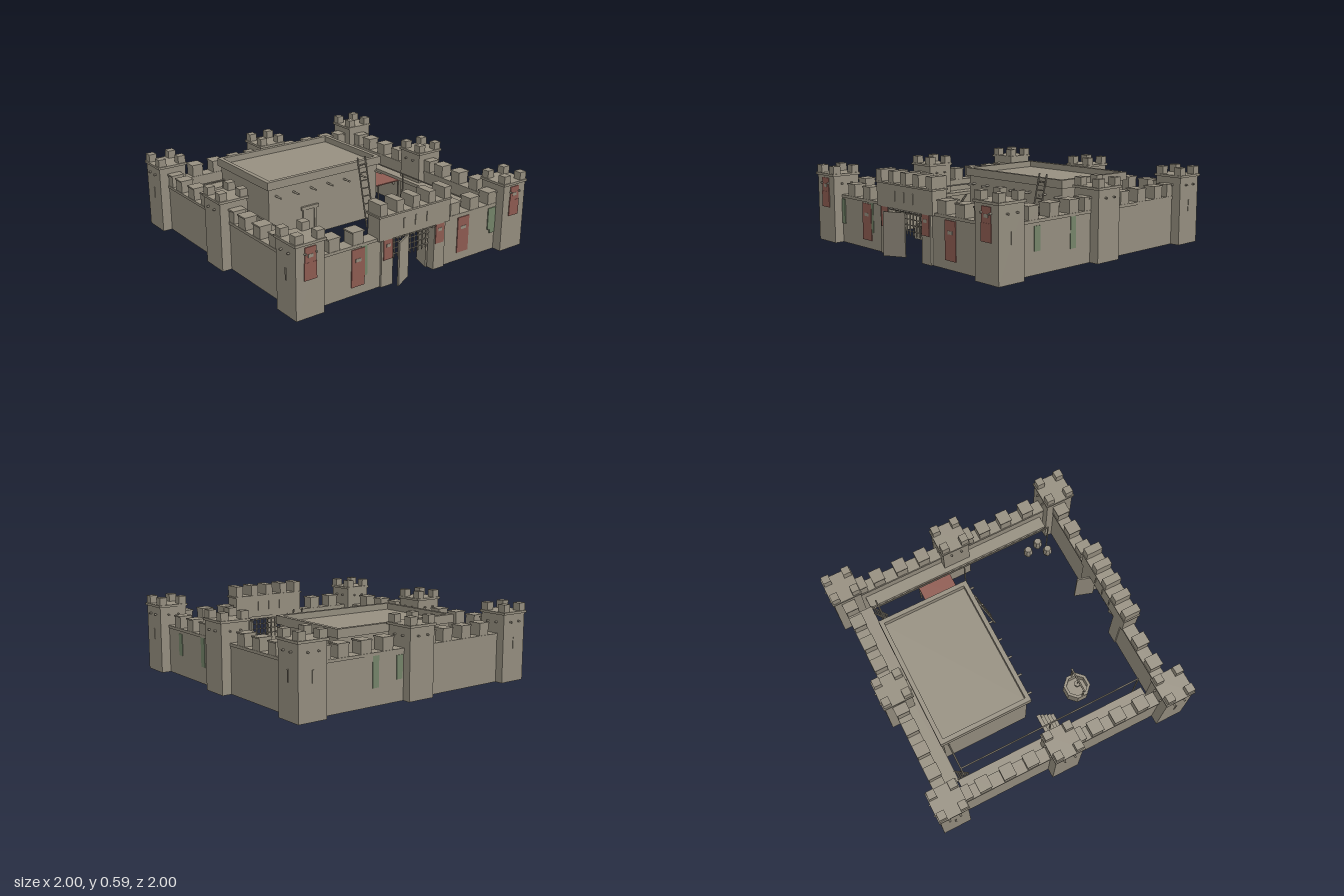
import * as THREE from 'three';

const paint = (name, color) => {
  const m = new THREE.MeshStandardMaterial({ color });
  m.name = name;
  return m;
};

export function createModel() {
  const stone = paint('stone', 0x968f80);
  const red = paint('bannerRed', 0x8f5c52);
  const green = paint('ivyGreen', 0x75856a);
  const stoneFaceted = stone;
  const root = new THREE.Group();
  root.name = 'fort';

  const group = (name, parent = root) => {
    const g = new THREE.Group();
    g.name = name;
    parent.add(g);
    return g;
  };
  const add = (parent, name, geo, x, y, z, mat = stone) => {
    const m = new THREE.Mesh(geo, mat);
    m.name = name;
    m.position.set(x, y, z);
    parent.add(m);
    return m;
  };
  // Box given by its extents
  const box = (parent, name, x0, x1, y0, y1, z0, z1, mat) =>
    add(parent, name, new THREE.BoxGeometry(x1 - x0, y1 - y0, z1 - z0),
      (x0 + x1) / 2, (y0 + y1) / 2, (z0 + z1) / 2, mat);
  // Round bar between two points
  const bar = (parent, name, a, b, r, sides = 6) => {
    const p = new THREE.Vector3(...a), q = new THREE.Vector3(...b);
    const mid = p.clone().add(q).multiplyScalar(0.5);
    const m = add(parent, name, new THREE.CylinderGeometry(r, r, p.distanceTo(q), sides), mid.x, mid.y, mid.z);
    m.quaternion.setFromUnitVectors(new THREE.Vector3(0, 1, 0), q.sub(p).normalize());
    return m;
  };

  // Towers: shaft, cap, four merlons, beam ends and arrow slits
  const tower = (cx, cz) => {
    const g = group('tower');
    g.position.set(cx, 0, cz);
    box(g, 'shaft', -0.105, 0.105, 0, 0.485, -0.105, 0.105);
    box(g, 'cap', -0.115, 0.115, 0.485, 0.502, -0.115, 0.115);
    for (const sx of [-1, 1]) for (const sz of [-1, 1])
      box(g, 'merlon', sx * 0.078 - 0.029, sx * 0.078 + 0.029, 0.5, 0.557, sz * 0.078 - 0.029, sz * 0.078 + 0.029);
    for (const o of [-0.04, 0.04]) {
      bar(g, 'beamEnd', [-0.123, 0.43, o], [0.123, 0.43, o], 0.007);
      bar(g, 'beamEnd', [o, 0.43, -0.123], [o, 0.43, 0.123], 0.007);
    }
    if (cx && cz) {
      box(g, 'arrowSlit', -0.109, 0.109, 0.24, 0.32, -0.006, 0.006);
      if (cz < 0) box(g, 'arrowSlit', -0.006, 0.006, 0.24, 0.32, -0.109, 0);
    }
  };
  const T = 0.875;
  for (const x of [-T, 0, T]) for (const z of [-T, 0, T])
    if ((x || z) && !(x === 0 && z === T)) tower(x, z);

  // Curtain walls with a lip and capped merlons
  const merlon = (g, x, z, wx, wz) => {
    box(g, 'merlon', x - wx / 2, x + wx / 2, 0.35, 0.432, z - wz / 2, z + wz / 2);
    box(g, 'merlonCap', x - wx / 2 - 0.005, x + wx / 2 + 0.005, 0.43, 0.44, z - wz / 2 - 0.005, z + wz / 2 + 0.005);
  };
  for (const s of [-1, 1]) {
    const g = group(s < 0 ? 'rightWall' : 'leftWall');
    const c = s * 0.868;
    box(g, 'wall', c - 0.042, c + 0.042, 0, 0.33, -0.78, 0.78);
    box(g, 'lip', c - 0.048, c + 0.048, 0.33, 0.35, -0.78, 0.78);
    for (const z of [-0.605, -0.42, -0.24, 0.265, 0.445, 0.63]) merlon(g, c, z, 0.09, 0.085);
    merlon(g, c, 0.13, 0.09, 0.075);
    merlon(g, c, -0.735, 0.09, 0.06);
    box(g, 'walkway', s * 0.78 - 0.047, s * 0.78 + 0.047, 0.235, 0.26, -0.74, 0.74);
    for (const z of [-0.5, -0.25, 0.25, 0.5])
      bar(g, 'walkwayBrace', [s * 0.828, 0.14, z], [s * 0.74, 0.24, z], 0.008);
  }
  const back = group('backWall');
  box(back, 'wall', -0.78, 0.78, 0, 0.33, -0.92, -0.835);
  box(back, 'lip', -0.78, 0.78, 0.33, 0.35, -0.926, -0.829);
  box(back, 'walkway', -0.74, 0.74, 0.235, 0.26, -0.84, -0.732);
  for (const x of [-0.635, -0.46, -0.285, -0.13, 0.24, 0.42, 0.6, 0.74]) merlon(back, x, -0.877, 0.085, 0.09);
  const front = group('frontWall');
  for (const s of [-1, 1]) {
    box(front, 'wall', s * 0.475 - 0.295, s * 0.475 + 0.295, 0, 0.33, 0.826, 0.91);
    box(front, 'lip', s * 0.54 - 0.24, s * 0.54 + 0.24, 0.33, 0.35, 0.82, 0.916);
    box(front, 'gatePier', s * 0.228 - 0.048, s * 0.228 + 0.048, 0, 0.33, 0.815, 0.925);
  }
  for (const x of [-0.645, -0.46, 0.375, 0.555, 0.73]) merlon(front, x, 0.868, 0.085, 0.09);

  // Gatehouse over the opening
  const gate = group('gatehouse');
  box(gate, 'chamber', -0.305, 0.305, 0.33, 0.495, 0.815, 0.933);
  box(gate, 'roofLip', -0.313, 0.313, 0.49, 0.502, 0.808, 0.94);
  box(gate, 'lintel', -0.18, 0.18, 0.31, 0.33, 0.826, 0.91);
  for (let i = -2; i <= 2; i++)
    box(gate, 'merlon', i * 0.137 - 0.03, i * 0.137 + 0.03, 0.5, 0.582, 0.812, 0.936);
  for (const x of [-0.1, 0, 0.1]) box(gate, 'slit', x - 0.005, x + 0.005, 0.38, 0.45, 0.81, 0.938);
  for (let i = 0; i < 6; i++) for (const o of [-0.01, 0.01]) {
    const x = -0.15 + i * 0.06 + o;
    bar(gate, 'beamEnd', [x, 0.326, 0.9], [x, 0.326, 0.945], 0.006);
  }
  // Portcullis with pointed bars
  const grid = group('portcullis', gate);
  for (let i = 0; i < 10; i++) {
    const x = -0.158 + i * 0.035;
    bar(grid, 'bar', [x, 0.16, 0.868], [x, 0.32, 0.868], 0.005);
    add(grid, 'spike', new THREE.ConeGeometry(0.006, 0.02, 6), x, 0.15, 0.868).rotation.x = Math.PI;
  }
  for (const y of [0.18, 0.22, 0.26, 0.295]) bar(grid, 'crossBar', [-0.18, y, 0.868], [0.18, y, 0.868], 0.004);
  // Open gate leaves
  const leaf = (x0, z0, x1, z1) => {
    const m = add(gate, 'gateLeaf', new THREE.BoxGeometry(Math.hypot(x1 - x0, z1 - z0), 0.305, 0.012),
      (x0 + x1) / 2, 0.155, (z0 + z1) / 2);
    m.rotation.y = -Math.atan2(z1 - z0, x1 - x0);
  };
  leaf(-0.175, 0.975, -0.03, 0.9);
  leaf(0.165, 0.87, 0.21, 0.73);

  // Banners with a small plate
  const banners = group('banners');
  const banner = (x, w, y0, y1, z) => {
    box(banners, 'banner', x - w / 2, x + w / 2, y0, y1, z, z + 0.006, red);
    const py = y1 - (y1 - y0) * 0.3;
    box(banners, 'bannerPlate', x - w * 0.22, x + w * 0.22, py - 0.011, py + 0.011, z, z + 0.008);
  };
  for (const s of [-1, 1]) {
    banner(s * 0.458, 0.105, 0.06, 0.32, 0.91);
    banner(s * 0.225, 0.075, 0.19, 0.33, 0.925);
    banner(s * 0.875, 0.082, 0.28, 0.47, 0.98);
    box(banners, 'bannerTail', s * 0.875 - 0.046, s * 0.875 + 0.046, 0.255, 0.37, 0.981, 0.987, red);
  }

  // Ivy on the walls
  const ivy = group('ivy');
  box(ivy, 'ivy', -0.775, -0.732, 0.14, 0.32, 0.908, 0.917, green);
  box(ivy, 'ivy', -0.43, -0.383, 0.12, 0.33, 0.906, 0.913, green);
  box(ivy, 'ivy', 0.697, 0.768, 0.16, 0.32, 0.908, 0.917, green);
  box(ivy, 'ivyTip', 0.72, 0.765, 0.13, 0.16, 0.908, 0.917, green);
  for (const [c, y0, y1] of [[0.595, 0.15, 0.31], [0.27, 0.12, 0.33]])
    box(ivy, 'ivy', 0.907, 0.914, y0, y1, c - 0.025, c + 0.025, green);
  for (const [c, y0, y1] of [[0.34, 0.12, 0.33], [0.14, 0.15, 0.31]])
    box(ivy, 'ivy', c - 0.025, c + 0.025, y0, y1, -0.924, -0.917, green);

  // Flat-roofed hall with a raised parapet, beam ends and door
  const hall = group('hall');
  box(hall, 'body', -0.49, 0.49, 0, 0.445, -0.725, -0.07);
  const rim = new THREE.Shape([[-0.51, -0.35], [0.51, -0.35], [0.51, 0.35], [-0.51, 0.35]].map(p => new THREE.Vector2(...p)));
  rim.holes.push(new THREE.Path([[-0.478, -0.318], [-0.478, 0.318], [0.478, 0.318], [0.478, -0.318]].map(p => new THREE.Vector2(...p))));
  add(hall, 'parapet', new THREE.ExtrudeGeometry(rim, { depth: 0.06, bevelEnabled: false }), 0, 0.43, -0.397).rotation.x = -Math.PI / 2;
  for (let i = 0; i < 7; i++) {
    const x = -0.43 + i * 0.152;
    bar(hall, 'roofBeam', [x, 0.37, -0.1], [x, 0.37, 0], 0.008);
  }
  box(hall, 'door', -0.18, -0.1, 0, 0.21, -0.072, -0.066);
  for (const x of [-0.19, -0.09]) box(hall, 'doorPost', x - 0.01, x + 0.01, 0, 0.21, -0.075, -0.058);
  box(hall, 'doorLintel', -0.215, -0.065, 0.21, 0.235, -0.075, -0.053);

  // Red awning beside the hall
  const awning = group('awning');
  box(awning, 'cloth', 0.49, 0.82, 0.23, 0.238, -0.35, -0.09, red);
  for (const z of [-0.34, -0.1]) bar(awning, 'post', [0.74, 0, z], [0.74, 0.23, z], 0.007);

  // Ladders
  const ladder = (x, w, y1, z0, z1, rungs) => {
    const g = group('ladder');
    for (const s of [-1, 1]) bar(g, 'rail', [x + s * w, 0, z0], [x + s * w, y1, z1], 0.006);
    for (let i = 1; i <= rungs; i++) {
      const t = i / (rungs + 1), z = z0 + (z1 - z0) * t;
      bar(g, 'rung', [x - w, y1 * t, z], [x + w, y1 * t, z], 0.005);
    }
  };
  ladder(0.325, 0.036, 0.52, 0.075, -0.05, 8);
  for (const s of [-1, 1]) ladder(s * 0.7, 0.03, 0.28, -0.635, -0.735, 6);

  // Long handrails inside the walls
  const rails = group('handrails');
  for (const s of [-1, 1]) {
    const x = s * 0.684;
    bar(rails, 'rail', [x, 0.33, -0.69], [x, 0.33, 0.74], 0.006);
    bar(rails, 'rail', [s * 0.74, 0.33, -0.688], [s * 0.49, 0.33, -0.688], 0.006);
    for (const z of [-0.688, 0.02, 0.735]) bar(rails, 'post', [x, 0, z], [x, 0.33, z], 0.006);
  }

  // Open plank stairs to the walkway
  const stairs = group('stairs');
  for (let i = 0; i < 5; i++) {
    const z = 0.107 - i * 0.031, y = 0.045 + i * 0.045;
    box(stairs, 'step', -0.735, -0.57, y, y + 0.012, z - 0.014, z + 0.014);
  }
  for (const x of [-0.72, -0.585]) bar(stairs, 'stringer', [x, 0, 0.12], [x, 0.225, -0.02], 0.008);

  // Eight-sided well with posts, crossbeam and bucket
  const well = group('well');
  well.position.set(-0.47, 0, 0.37);
  const basin = [[0, 0], [0.1, 0], [0.1, 0.1], [0.078, 0.1], [0.078, 0.04], [0, 0.04]].map(p => new THREE.Vector2(...p));
  const basinGeo = new THREE.LatheGeometry(basin, 8, Math.PI / 8).toNonIndexed();
  basinGeo.computeVertexNormals();
  add(well, 'basin', basinGeo, 0, 0, 0, stoneFaceted);
  for (const x of [-0.086, 0.086]) bar(well, 'post', [x, 0.09, 0], [x, 0.23, 0], 0.007);
  bar(well, 'crossbeam', [-0.1, 0.225, 0], [0.1, 0.225, 0], 0.007);
  bar(well, 'rope', [0, 0.14, 0], [0, 0.225, 0], 0.003);
  add(well, 'bucket', new THREE.CylinderGeometry(0.025, 0.02, 0.04, 6), 0, 0.13, 0);

  // Barrels
  const stave = [[0, 0], [0.026, 0], [0.035, 0.03], [0.035, 0.06], [0.026, 0.09], [0, 0.09]].map(p => new THREE.Vector2(...p));
  const barrelGeo = new THREE.LatheGeometry(stave, 8).toNonIndexed();
  barrelGeo.computeVertexNormals();
  for (const [x, z] of [[0.69, 0.575], [0.63, 0.715], [0.72, 0.675], [-0.73, -0.59]])
    add(root, 'barrel', barrelGeo, x, 0, z);

  return root;
}
